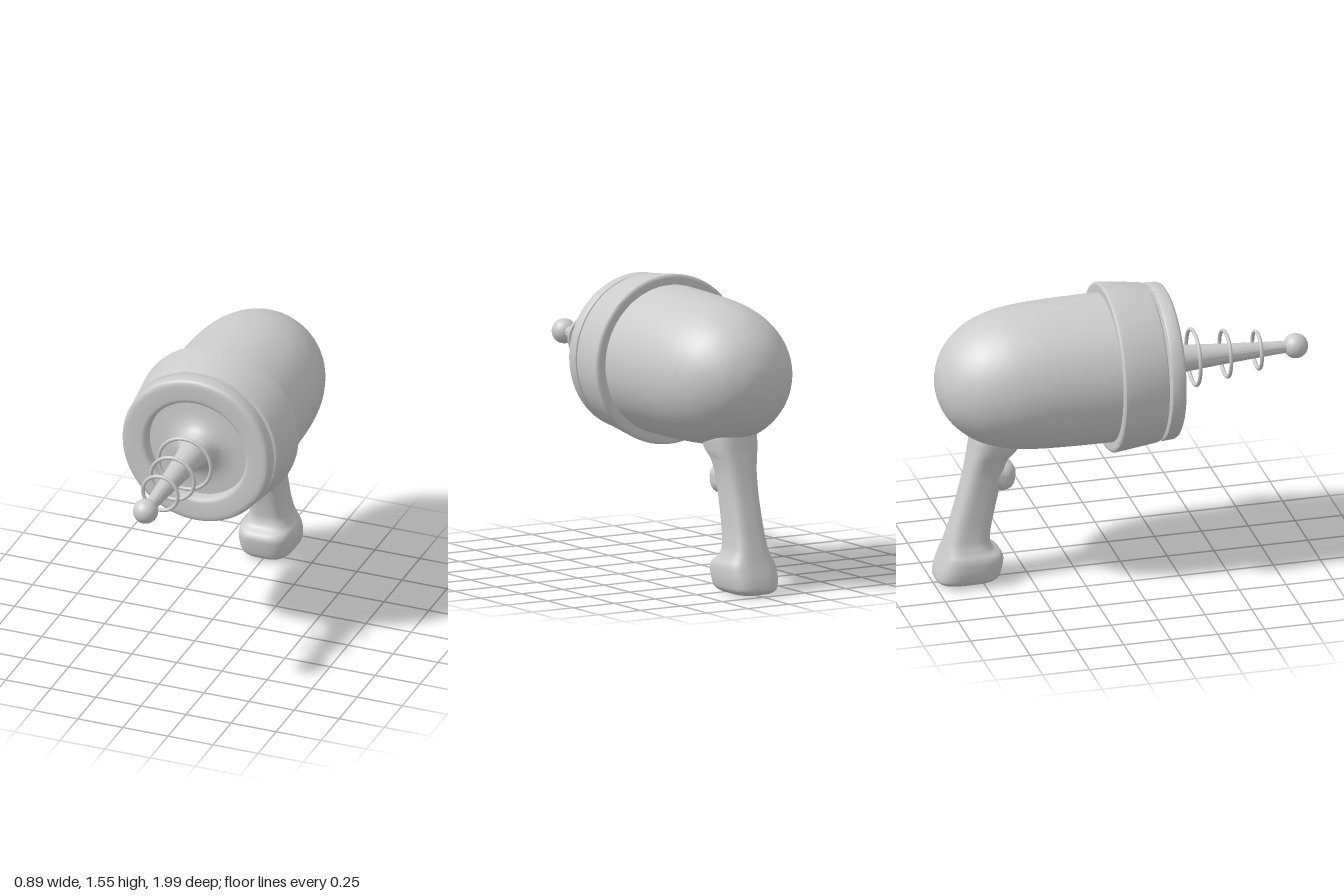
import * as THREE from 'three';
import { mergeVertices, toCreasedNormals } from 'three/addons/utils/BufferGeometryUtils.js';
import { RoundedBoxGeometry } from 'three/addons/geometries/RoundedBoxGeometry.js';

const AXIS_Y = 1.117;
const material = new THREE.MeshStandardMaterial({ color: 0xcccccc, side: THREE.DoubleSide });

function add(group, name, geometry, x = 0, y = 0, z = 0) {
  const mesh = new THREE.Mesh(geometry, material);
  mesh.name = name;
  mesh.position.set(x, y, z);
  group.add(mesh);
  return mesh;
}

// Turned part around the z axis; profile points are [radius, z], back to front
function turned(profile, crease = 0.7) {
  const points = profile.map(([r, z]) => new THREE.Vector2(r, z));
  const geometry = new THREE.LatheGeometry(points, 72).rotateX(Math.PI / 2);
  return crease ? toCreasedNormals(geometry, crease) : geometry;
}

// Smooth loft from [y, frontZ, backZ, halfWidth] rows, bottom to top
function loft(rows, steps, sides, power) {
  const edges = new THREE.CatmullRomCurve3(
    rows.map(([y, f, b]) => new THREE.Vector3(f, y, b)), false, 'catmullrom', 0.4);
  const widths = new THREE.CatmullRomCurve3(
    rows.map(([y, , , w]) => new THREE.Vector3(w, y, 0)), false, 'catmullrom', 0.4);
  const round = (v) => Math.sign(v) * Math.pow(Math.abs(v), power);
  const positions = [];
  const index = [];
  for (let i = 0; i <= steps; i++) {
    const e = edges.getPoint(i / steps);
    const w = widths.getPoint(i / steps).x;
    for (let j = 0; j < sides; j++) {
      const a = (j / sides) * Math.PI * 2;
      positions.push(w * round(Math.cos(a)), e.y,
        (e.x + e.z) / 2 + (e.x - e.z) / 2 * round(Math.sin(a)));
      if (i === steps) continue;
      const p = i * sides + j;
      const q = i * sides + (j + 1) % sides;
      index.push(p, p + sides, q, q, p + sides, q + sides);
    }
  }
  const geometry = new THREE.BufferGeometry();
  geometry.setAttribute('position', new THREE.Float32BufferAttribute(positions, 3));
  geometry.setIndex(index);
  const merged = mergeVertices(geometry, 1e-5);
  merged.computeVertexNormals();
  return merged;
}

export function createModel() {
  const model = new THREE.Group();
  model.name = 'rayGun';

  // Domed body
  const dome = new THREE.SplineCurve([
    [0, -0.983], [0.09, -0.97], [0.2, -0.915], [0.295, -0.81], [0.35, -0.68],
    [0.375, -0.54], [0.385, -0.36], [0.389, -0.1], [0.389, 0.1],
  ].map(([r, z]) => new THREE.Vector2(r, z))).getPoints(48);
  dome[0].x = 0;
  add(model, 'body', turned(dome.map((p) => [Math.max(p.x, 0), p.y]), 0), 0, AXIS_Y);

  // Flared collar
  add(model, 'collar', turned([
    [0.37, -0.085], [0.425, -0.092], [0.437, -0.09], [0.443, -0.083], [0.443, -0.07],
    [0.438, -0.03], [0.417, 0.14], [0.413, 0.151], [0.404, 0.156], [0.365, 0.158],
  ]), 0, AXIS_Y);

  // Narrow neck in the groove
  add(model, 'neck', turned([[0.37, 0.1], [0.37, 0.2]]), 0, AXIS_Y);

  // Front plate with a dished centre
  add(model, 'frontPlate', turned([
    [0.36, 0.163], [0.395, 0.167], [0.408, 0.172], [0.412, 0.182], [0.408, 0.232],
    [0.403, 0.243], [0.392, 0.249], [0.375, 0.25], [0.3, 0.25], [0.286, 0.247],
    [0.278, 0.238], [0.275, 0.225], [0.275, 0.185], [0.22, 0.187], [0.17, 0.193],
    [0.135, 0.204], [0.11, 0.22], [0.093, 0.242], [0.082, 0.275],
  ]), 0, AXIS_Y);

  // Tapered antenna with tip ball
  add(model, 'antenna', turned([
    [0.082, 0.275], [0.074, 0.32], [0.067, 0.38], [0.057, 0.5], [0.046, 0.65],
    [0.036, 0.8], [0.03, 0.9],
  ]), 0, AXIS_Y);
  add(model, 'antennaTip', new THREE.SphereGeometry(0.065, 40, 28), 0, AXIS_Y, 0.935);

  // Floating rings
  for (const [z, radius] of [[0.39, 0.145], [0.56, 0.12], [0.73, 0.097]]) {
    add(model, 'ring', new THREE.TorusGeometry(radius, 0.01, 14, 64), 0, AXIS_Y, z);
  }

  // Grip with a swollen foot
  add(model, 'grip', loft([
    [0.006, -0.82, -0.82, 0], [0.007, -0.74, -0.93, 0.07], [0.016, -0.685, -0.975, 0.108],
    [0.04, -0.658, -0.993, 0.134], [0.09, -0.644, -0.984, 0.145], [0.14, -0.638, -0.967, 0.145],
    [0.168, -0.652, -0.957, 0.138], [0.195, -0.69, -0.948, 0.121], [0.24, -0.706, -0.934, 0.103],
    [0.32, -0.697, -0.909, 0.093], [0.42, -0.676, -0.88, 0.09], [0.52, -0.654, -0.853, 0.09],
    [0.62, -0.634, -0.829, 0.096], [0.69, -0.61, -0.814, 0.108], [0.74, -0.565, -0.804, 0.122],
    [0.82, -0.53, -0.79, 0.13], [0.88, -0.55, -0.77, 0.11],
  ], 96, 56, 0.62));

  // Trigger button
  const trigger = add(model, 'trigger',
    new RoundedBoxGeometry(0.168, 0.16, 0.17, 8, 0.066), 0, 0.582, -0.652);
  trigger.rotation.x = 0.12;

  return model;
}
